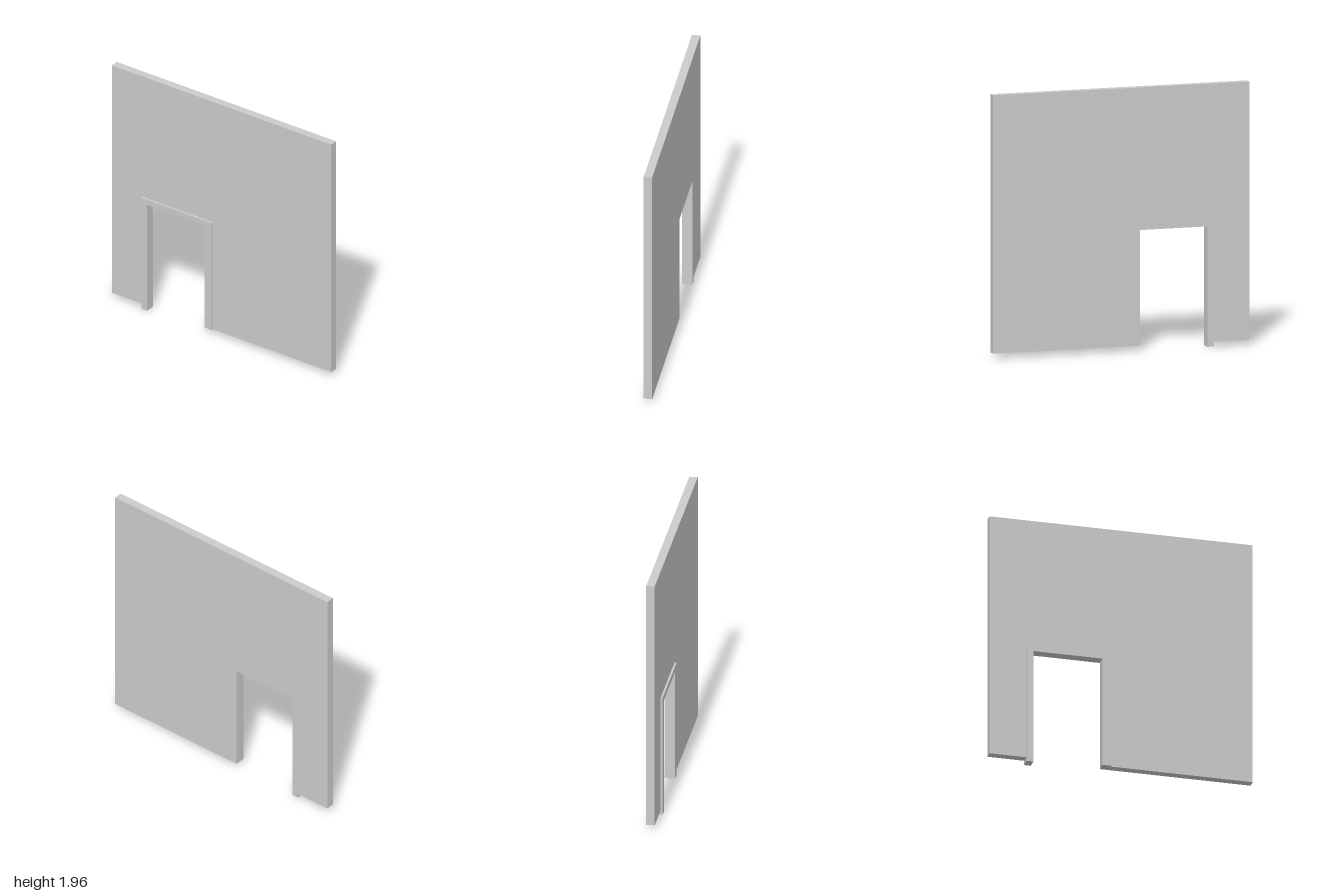
import * as THREE from 'three';

const BACK = -0.039, FACE = 0.024, FRONT = 0.039; // depth planes
const BASE = 0.035, TOP = 1.957;                  // wall bottom and top
const OPEN = { left: -0.67, right: -0.145, top: 0.896 };
const TRIM = { left: -0.72, right: -0.08, top: 0.94 };

// Extrude an outline from z0 to z1
function slab(name, points, z0, z1) {
  const shape = new THREE.Shape(points.map(([x, y]) => new THREE.Vector2(x, y)));
  const geometry = new THREE.ExtrudeGeometry(shape, { depth: z1 - z0, bevelEnabled: false });
  geometry.translate(0, 0, z0);
  const mesh = new THREE.Mesh(geometry, new THREE.MeshStandardMaterial({ color: 0xcccccc }));
  mesh.name = name;
  return mesh;
}

export function createModel() {
  const group = new THREE.Group();
  group.name = 'wallWithDoorway';

  // Doorway edge, shared by wall and trim; one jamb reaches down to the ground
  const doorway = [
    [TRIM.left, 0], [OPEN.left, 0], [OPEN.left, OPEN.top],
    [OPEN.right, OPEN.top], [OPEN.right, BASE],
  ];

  // Wall panel with the doorway cut out of its bottom edge
  group.add(slab('wall', [
    [-1, BASE], [TRIM.left, BASE], ...doorway,
    [1, BASE], [1, TOP], [-1, TOP],
  ], BACK, FACE));

  // Raised door trim on the front face
  group.add(slab('doorTrim', [
    ...doorway, [TRIM.right, BASE], [TRIM.right, TRIM.top], [TRIM.left, TRIM.top],
  ], FACE, FRONT));

  return group;
}
